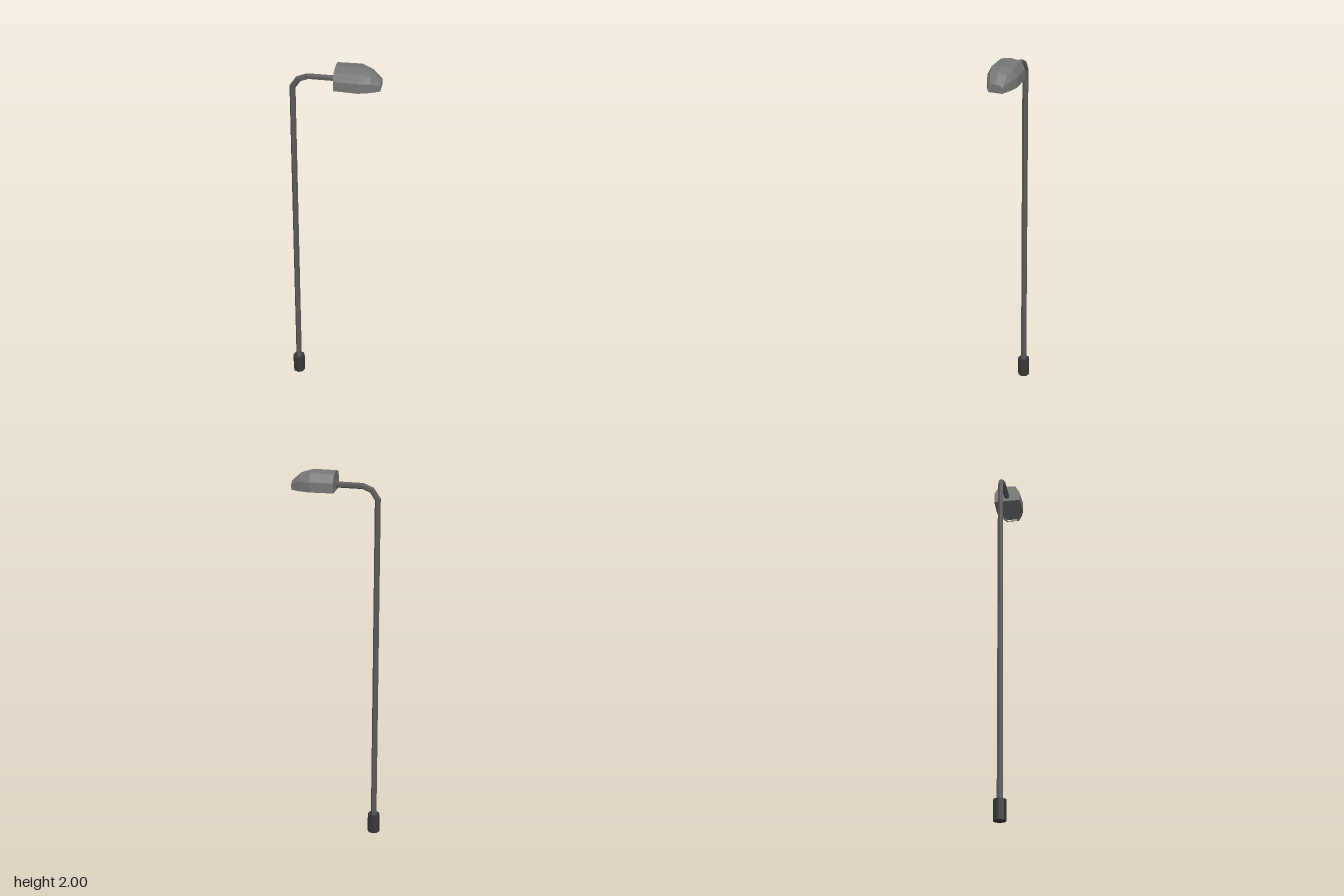
import * as THREE from 'three';

const material = (color) => new THREE.MeshStandardMaterial({ color, flatShading: true });

// Skin a row of closed rings (each an array of [x, y, z]) and cap both ends
function loft(rings) {
  const n = rings[0].length;
  const index = [];
  for (let r = 0; r < rings.length - 1; r++) {
    for (let i = 0; i < n; i++) {
      const a = r * n + i, b = r * n + (i + 1) % n;
      index.push(a, b, a + n, b, b + n, a + n);
    }
  }
  const last = (rings.length - 1) * n;
  for (let i = 1; i < n - 1; i++) {
    index.push(0, i + 1, i, last, last + i, last + i + 1);
  }
  const geometry = new THREE.BufferGeometry();
  geometry.setAttribute('position', new THREE.Float32BufferAttribute(rings.flat(2), 3));
  geometry.setIndex(index);
  const flat = geometry.toNonIndexed();
  flat.computeVertexNormals();
  return flat;
}

// Six-sided pipe along a path in the xy plane, mitred at each bend
function pipe(path, radius, sides = 6) {
  const points = path.map(([x, y]) => new THREE.Vector2(x, y));
  return loft(points.map((p, i) => {
    const before = p.clone().sub(points[Math.max(i - 1, 0)]).normalize();
    const after = points[Math.min(i + 1, points.length - 1)].clone().sub(p).normalize();
    const dir = before.add(after).normalize();
    return Array.from({ length: sides }, (_, k) => {
      const angle = (k / sides) * Math.PI * 2;
      const u = Math.cos(angle) * radius;
      return [p.x - dir.y * u, p.y + dir.x * u, Math.sin(angle) * radius];
    });
  }));
}

export function createModel() {
  const group = new THREE.Group();
  const add = (name, geometry, color) => {
    const mesh = new THREE.Mesh(geometry, material(color));
    mesh.name = name;
    group.add(mesh);
    return mesh;
  };

  // Octagonal foot
  add('base', new THREE.CylinderGeometry(0.033, 0.033, 0.105, 8), 0x383838)
    .position.set(-0.2, 0.0525, 0);

  // Pole and bent arm in one run
  add('poleAndArm', pipe([
    [-0.2, 0.09], [-0.2, 1.865], [-0.17, 1.91], [-0.125, 1.928], [0.03, 1.93],
  ], 0.0155), 0x5c5c5c);

  // Lamp housing sections: x, half width, side crease height, shoulder height, top height
  const sections = [
    [0.01, 0.071, 1.95, 1.989, 1.997],
    [0.13, 0.075, 1.95, 1.991, 2.0],
    [0.185, 0.058, 1.946, 1.974, 1.983],
    [0.23, 0.035, 1.928, 1.938, 1.943],
  ];
  const bottom = 1.9, lens = 1.911;
  add('lampHousing', loft(sections.map(([x, w, crease, shoulder, top]) => [
    [x, lens, w], [x, lens, -w], [x, crease, -w], [x, shoulder, -w * 0.72],
    [x, top, 0], [x, shoulder, w * 0.72], [x, crease, w],
  ])), 0x777777);

  // Raised lip around the recessed underside
  const outline = (inset) => {
    const side = sections.map(([x, w], i) => {
      const dx = i === 0 ? inset : i === sections.length - 1 ? -inset : 0;
      return new THREE.Vector2(x + dx, w - inset);
    });
    return [...side, ...side.map((p) => new THREE.Vector2(p.x, -p.y)).reverse()];
  };
  const rimShape = new THREE.Shape(outline(0));
  rimShape.holes.push(new THREE.Path(outline(0.008)));
  const rim = new THREE.ExtrudeGeometry(rimShape, { depth: lens - bottom, bevelEnabled: false });
  rim.rotateX(-Math.PI / 2).translate(0, bottom, 0);
  add('lampRim', rim, 0x777777);

  return group;
}
